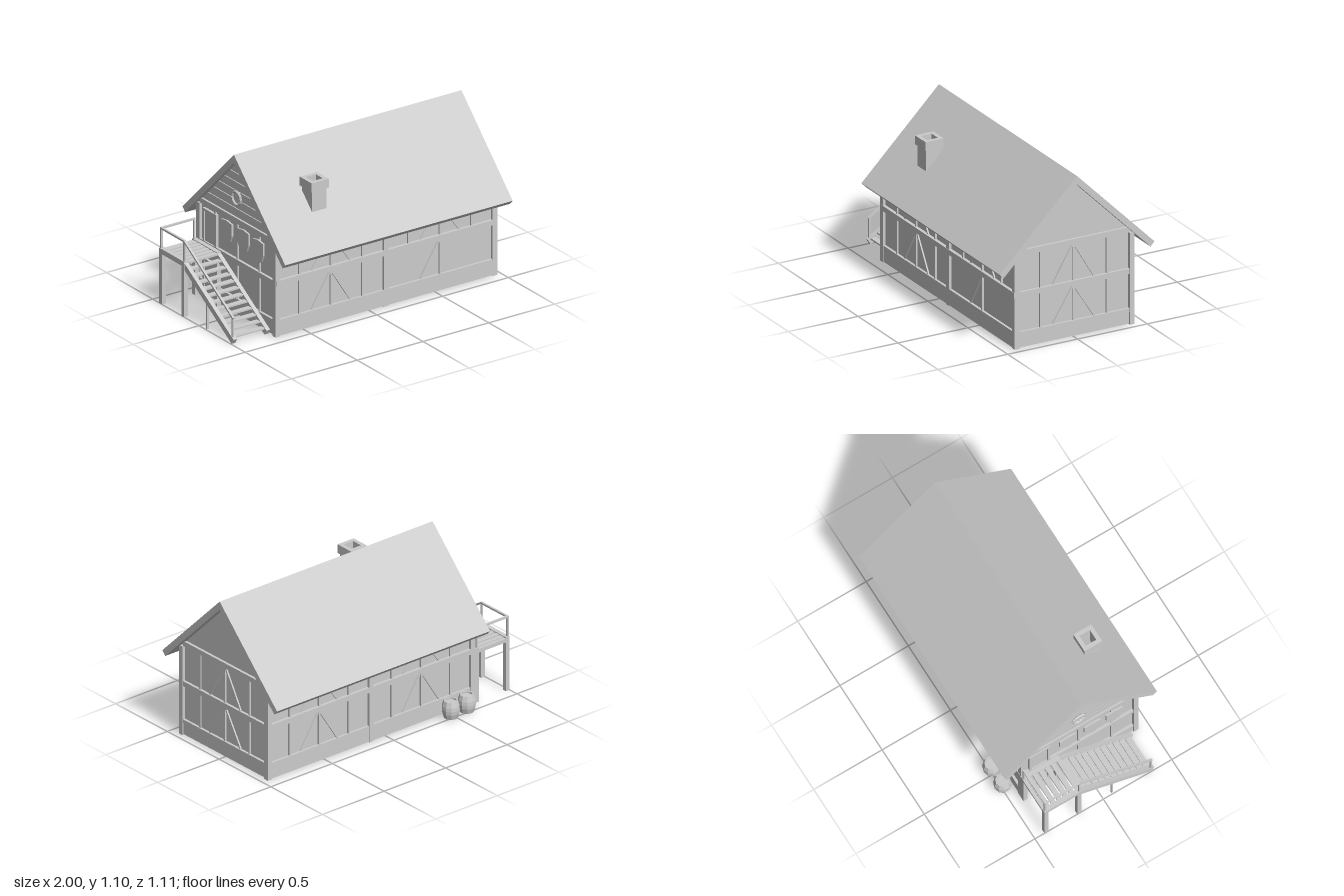
import * as THREE from 'three';

export function createModel() {
  const model = new THREE.Group();
  model.name = 'timberHouse';
  const grey = new THREE.MeshStandardMaterial({ color: 0xcccccc, flatShading: true, side: THREE.DoubleSide });
  grey.name = 'plainGrey';

  const add = (parent, name, geometry) => {
    const mesh = new THREE.Mesh(geometry, grey);
    mesh.name = name;
    parent.add(mesh);
    return mesh;
  };
  // Box given by its limits on each axis
  const box = (parent, name, x0, x1, y0, y1, z0, z1) => {
    const mesh = add(parent, name, new THREE.BoxGeometry(x1 - x0, y1 - y0, z1 - z0));
    mesh.position.set((x0 + x1) / 2, (y0 + y1) / 2, (z0 + z1) / 2);
    return mesh;
  };
  // Straight bar between two points
  const bar = (parent, name, a, b, w, h) => {
    const p = new THREE.Vector3(...a), q = new THREE.Vector3(...b);
    const mesh = new THREE.Mesh(new THREE.BoxGeometry(w, h, p.distanceTo(q)), grey);
    mesh.name = name;
    mesh.position.copy(p).add(q).multiplyScalar(0.5);
    mesh.lookAt(q);
    parent.add(mesh);
  };
  const extrude = (points, depth) => new THREE.ExtrudeGeometry(
    new THREE.Shape(points.map(([x, y]) => new THREE.Vector2(x, y))), { depth, bevelEnabled: false });
  const group = (name, x, z, turn) => {
    const g = new THREE.Group();
    g.name = name;
    g.position.set(x, 0, z);
    g.rotation.y = turn;
    model.add(g);
    return g;
  };

  // Wall shell, open underneath
  const base = 0.012;
  for (const s of [-1, 1]) {
    box(model, 'longWall', -0.70, 0.945, base, 0.62, s * 0.405 - 0.005, s * 0.405 + 0.005);
    const end = add(model, 'gableWall', extrude(
      [[-0.41, base], [0.41, base], [0.41, 0.64], [0, 1.05], [-0.41, 0.64]], 0.01));
    end.rotation.y = Math.PI / 2;
    end.position.x = s > 0 ? 0.935 : -0.70;
    for (const x of [-0.7025, 0.9475]) {
      box(model, 'cornerPost', x - 0.0175, x + 0.0175, 0.008, 0.625, s * 0.4125 - 0.0175, s * 0.4125 + 0.0175);
    }
  }

  // One framed bay: side studs, middle stud and two braces
  const bay = (wall, centre, y0, y1, sides, braces) => {
    for (const s of [-1, 0, 1]) {
      if (s && !sides) continue;
      const u = centre + s * 0.239;
      box(wall, 'stud', u - 0.006, u + 0.006, y0, y1, 0, 0.012);
    }
    for (const s of braces) {
      bar(wall, 'brace', [centre + s * 0.148, y0, 0.005], [centre + s * 0.006, y1 - 0.005, 0.005], 0.01, 0.012);
    }
  };

  // Long walls
  for (const s of [1, -1]) {
    const wall = group(s > 0 ? 'frontFrame' : 'backFrame', 0, s * 0.41, s > 0 ? 0 : Math.PI);
    const x0 = s > 0 ? -0.715 : -0.96, x1 = x0 + 1.675, mid = s * 0.1225;
    box(wall, 'sillBeam', x0, x1, base, 0.12, -0.01, 0.017);
    box(wall, 'middleBeam', x0, x1, 0.353, 0.388, -0.01, 0.022);
    box(wall, 'topBeam', x0, x1, 0.59, 0.622, -0.01, 0.018);
    box(wall, 'centrePost', mid - 0.0175, mid + 0.0175, 0.008, 0.62, -0.01, 0.02);
    for (const c of [-0.29, 0.5375]) {
      const bare = s > 0 && c > 0;
      bay(wall, s * c, 0.12, 0.353, !bare, bare ? [-1] : [-1, 1]);
      bay(wall, s * c, 0.388, 0.59, true, [-1, 1]);
    }
  }

  // End walls
  const ends = {};
  for (const s of [1, -1]) {
    const wall = ends[s] = group(s > 0 ? 'leftEndFrame' : 'rightEndFrame', s > 0 ? 0.945 : -0.70, 0, s * Math.PI / 2);
    box(wall, 'foundation', -0.4, 0.4, base, 0.095, -0.01, 0.01);
    box(wall, 'lowerBeam', -0.4, 0.4, 0.095, 0.118, -0.01, 0.017);
    box(wall, 'middleBeam', -0.42, 0.42, 0.35, 0.385, -0.01, 0.018);
    box(wall, 'gableBeam', -0.395, 0.395, 0.63, 0.665, -0.01, 0.018);
    bay(wall, 0, 0.385, 0.63, true, s > 0 ? [-1, 1] : []);
    bay(wall, 0, 0.118, 0.35, true, s > 0 ? [-1, 1] : []);
  }

  // Stair end: gable boards, round window, doors and hanging shields
  const side = ends[-1];
  for (let i = 0; i < 6; i++) {
    const y = 0.668 + i * 0.06, w = 1.05 - y;
    add(side, 'gableBoard', extrude(
      [[-w, y], [w, y], [w - 0.055, y + 0.055], [0.055 - w, y + 0.055]], 0.008));
  }
  const ring = add(side, 'roundWindowFrame', new THREE.TorusGeometry(0.045, 0.009, 4, 12));
  ring.position.set(0, 0.8, 0.012);
  const pane = add(side, 'roundWindowPane', new THREE.CircleGeometry(0.045, 12));
  pane.position.set(0, 0.8, 0.011);
  const door = (name, u, y0, y1) => {
    box(side, name, u - 0.06, u + 0.06, y0, y1, 0, 0.009);
    for (const s of [-1, 1]) box(side, 'doorJamb', u + s * 0.066 - 0.008, u + s * 0.066 + 0.008, y0, y1, 0, 0.018);
    box(side, 'doorLintel', u - 0.074, u + 0.074, y1, y1 + 0.016, 0, 0.018);
  };
  door('upperDoor', -0.29, 0.385, 0.59);
  door('lowerDoor', -0.29, base, 0.25);
  box(side, 'doorStep', -0.34, -0.25, 0.008, 0.022, 0, 0.03);
  for (const [u, y] of [[-0.09, 0.54], [0.09, 0.54], [0.25, 0.53]]) {
    const shield = add(side, 'shield', extrude(
      [[-0.06, 0.07], [0, 0.08], [0.06, 0.07], [0.06, -0.01], [0.04, -0.055], [0, -0.08], [-0.04, -0.055], [-0.06, -0.01]], 0.012));
    shield.position.set(u, y, 0.018);
  }

  // Cross beam under the upper floor
  box(model, 'crossBeam', 0.105, 0.14, 0.34, 0.375, -0.41, 0.41);

  // Roof slabs as one chevron
  const roof = add(model, 'roof', extrude(
    [[-0.555, 0.548], [-0.527, 0.518], [0, 1.043], [0.527, 0.518], [0.555, 0.548], [0, 1.1]], 1.73));
  roof.rotation.y = Math.PI / 2;
  roof.position.x = -0.735;

  // Chimney with an open flue
  const tube = (name, half, hole, y0, y1) => {
    const shape = new THREE.Shape([[-1, -1], [1, -1], [1, 1], [-1, 1]].map(([x, y]) => new THREE.Vector2(x * half, y * half)));
    shape.holes.push(new THREE.Path([[-1, -1], [-1, 1], [1, 1], [1, -1]].map(([x, y]) => new THREE.Vector2(x * hole, y * hole))));
    const mesh = add(model, name, new THREE.ExtrudeGeometry(shape, { depth: y1 - y0, bevelEnabled: false }));
    mesh.rotation.x = -Math.PI / 2;
    mesh.position.set(-0.333, y0, 0.298);
  };
  tube('chimneyStack', 0.055, 0.038, 0.73, 0.89);
  tube('chimneyCap', 0.065, 0.038, 0.89, 0.95);

  // Barrels with recessed ends
  const stave = [[0, 0.012], [0.036, 0.012], [0.036, 0], [0.045, 0], [0.056, 0.035], [0.058, 0.059],
    [0.056, 0.083], [0.045, 0.118], [0.036, 0.118], [0.036, 0.106], [0, 0.106]].map(p => new THREE.Vector2(...p));
  for (const x of [-0.47, -0.6]) {
    add(model, 'barrel', new THREE.LatheGeometry(stave, 10)).position.set(x, base, -0.491);
  }

  // Landing
  const stairs = group('outsideStairs', 0, 0, 0);
  for (const x of [-0.985, -0.735]) {
    for (const z of [-0.415, -0.175]) box(stairs, 'landingPost', x - 0.015, x + 0.015, 0.005, 0.345, z - 0.015, z + 0.015);
    box(stairs, 'landingBeam', x - 0.015, x + 0.015, 0.345, 0.38, -0.43, -0.16);
    bar(stairs, 'stringer', [x, 0.355, -0.17], [x, 0.025, 0.362], 0.028, 0.04);
  }
  box(stairs, 'landingEndBeam', -0.97, -0.75, 0.345, 0.37, -0.43, -0.4);
  for (let i = 0; i < 6; i++) {
    const z = -0.39 + i * 0.044;
    box(stairs, 'landingBoard', -0.97, -0.75, 0.362, 0.375, z - 0.016, z + 0.016);
  }
  // Treads
  for (let i = 0; i < 11; i++) {
    const z = -0.13 + i * 0.0465, y = 0.338 - i * 0.029;
    box(stairs, 'tread', -0.972, -0.748, y - 0.005, y + 0.005, z - 0.019, z + 0.019);
  }
  // Railings
  const rail = (a, b) => bar(stairs, 'handrail', a, b, 0.014, 0.012);
  rail([-0.995, 0.515, -0.42], [-0.735, 0.515, -0.42]);
  rail([-0.99, 0.515, -0.425], [-0.99, 0.515, -0.165]);
  rail([-0.99, 0.515, -0.17], [-0.99, 0.18, 0.36]);
  for (const [x, z, y0, y1] of [[-0.99, -0.42, 0.37, 0.515], [-0.74, -0.42, 0.37, 0.515],
    [-0.99, -0.17, 0.37, 0.515], [-0.99, 0.352, 0.03, 0.185], [-0.985, 0.07, 0.005, 0.2]]) {
    box(stairs, 'railPost', x - 0.006, x + 0.006, y0, y1, z - 0.006, z + 0.006);
  }
  return model;
}
